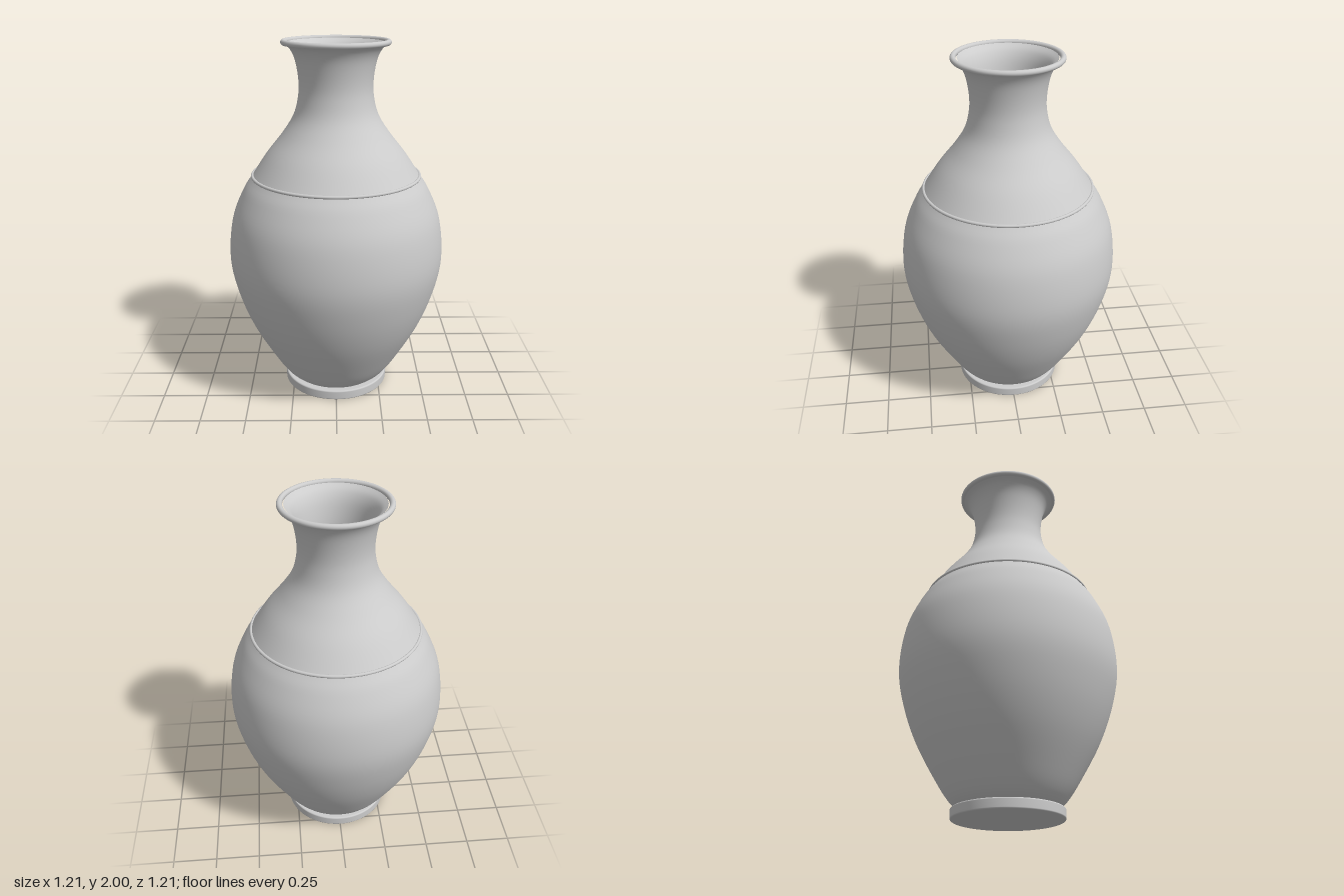
import * as THREE from 'three';

const SEGMENTS = 96;

export function createModel() {
  const vase = new THREE.Group();
  vase.name = 'vase';
  const clay = new THREE.MeshStandardMaterial({ color: 0xcccccc });
  clay.name = 'greyClay';

  const add = (name, geometry, y = 0) => {
    const mesh = new THREE.Mesh(geometry, clay);
    mesh.name = name;
    mesh.position.y = y;
    vase.add(mesh);
    return mesh;
  };
  const lathe = (points) => new THREE.LatheGeometry(points, SEGMENTS);
  const vectors = (pairs) => pairs.map(([r, y]) => new THREE.Vector2(r, y));

  // Smooth outer profile, from the foot up to the flared lip
  const profile = new THREE.SplineCurve(vectors([
    [0.26, 0.055], [0.31, 0.1], [0.378, 0.2], [0.49, 0.4], [0.566, 0.6],
    [0.604, 0.8], [0.583, 1.02], [0.52, 1.18], [0.462, 1.27], [0.382, 1.39],
    [0.295, 1.5], [0.232, 1.6], [0.205, 1.7], [0.202, 1.79], [0.218, 1.89],
    [0.245, 1.95], [0.28, 1.98],
  ])).getPoints(80);
  add('body', lathe(profile));

  // Inner wall runs back down, a wall thickness inside the body
  const inner = profile.filter((p) => p.y > 0.09)
    .map((p) => new THREE.Vector2(p.x - 0.022, Math.min(p.y + 0.006, 1.99)))
    .reverse();
  add('innerWall', lathe(inner));

  // Floor inside the vase
  const end = inner[inner.length - 1];
  const floor = new THREE.CircleGeometry(end.x, SEGMENTS);
  floor.rotateX(-Math.PI / 2);
  add('innerFloor', floor, end.y);

  // Rounded lip and thin shoulder band
  const ring = (radius, tube) => {
    const geometry = new THREE.TorusGeometry(radius, tube, 16, SEGMENTS);
    geometry.rotateX(Math.PI / 2);
    return geometry;
  };
  add('lip', ring(0.279, 0.015), 1.985);
  add('shoulderBand', ring(0.464, 0.009), 1.268);

  // Foot disc: side with softened edges, then flat caps
  const foot = [];
  const bevel = 0.008;
  for (const [y, start] of [[bevel, -Math.PI / 2], [0.056 - bevel, 0]]) {
    for (let i = 0; i <= 4; i++) {
      const a = start + (i / 4) * Math.PI / 2;
      foot.push(new THREE.Vector2(0.3 - bevel + bevel * Math.cos(a), y + bevel * Math.sin(a)));
    }
  }
  add('footEdge', lathe(foot));
  for (const [name, y, turn] of [['footTop', 0.056, -1], ['footBase', 0, 1]]) {
    const cap = new THREE.CircleGeometry(0.3 - bevel, SEGMENTS);
    cap.rotateX(turn * Math.PI / 2);
    add(name, cap, y);
  }
  return vase;
}
